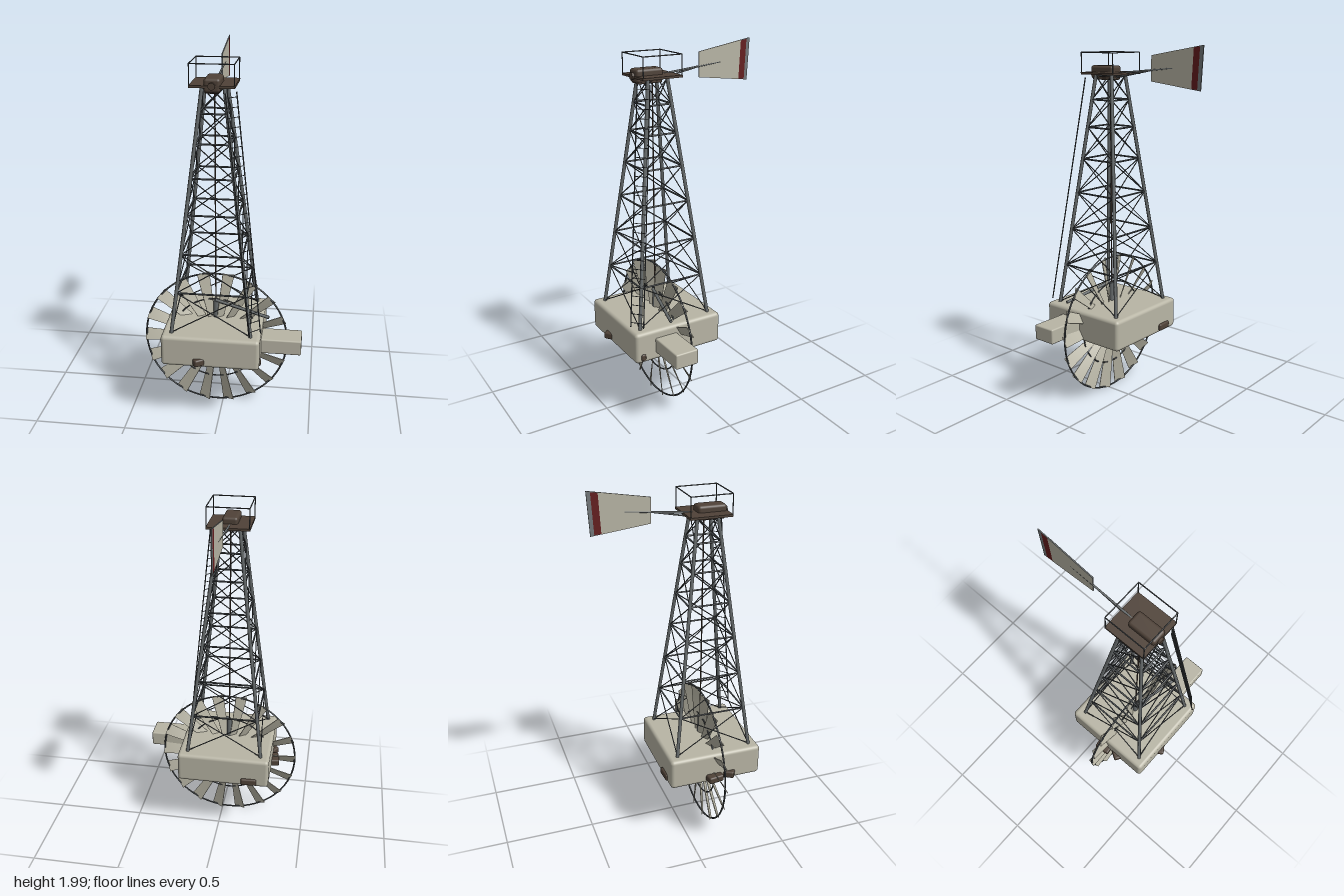
import * as THREE from 'three';
import { RoundedBoxGeometry } from 'three/addons/geometries/RoundedBoxGeometry.js';

const CX = -0.038, CZ = 0.157; // tower axis
const V = (x, y, z) => new THREE.Vector3(x, y, z);
const lerp = THREE.MathUtils.lerp;
const mat = (name, color, side = THREE.FrontSide) => {
  const m = new THREE.MeshStandardMaterial({ color, side });
  m.name = name;
  return m;
};

export function createModel() {
  const paint = mat('weathered paint', 0xb8b5a5, THREE.DoubleSide);
  const steel = mat('leg steel', 0x666b6c);
  const iron = mat('dark iron', 0x484d50);
  const wood = mat('brown wood', 0x4f4238);
  const red = mat('dark red', 0x641c1d, THREE.DoubleSide);
  const sheet = mat('grey sheet metal', 0x73787a);

  const model = new THREE.Group();
  model.name = 'windPump';
  const group = (name, parent = model) => {
    const g = new THREE.Group();
    g.name = name;
    parent.add(g);
    return g;
  };
  const add = (name, geo, material, parent = model) => {
    const m = new THREE.Mesh(geo, material);
    m.name = name;
    parent.add(m);
    return m;
  };
  // Round bar between two points
  const bar = (name, a, b, r, material, parent, sides = 6, rEnd = r) => {
    const m = add(name, new THREE.CylinderGeometry(rEnd, r, a.distanceTo(b), sides), material, parent);
    m.position.copy(a).add(b).multiplyScalar(0.5);
    m.quaternion.setFromUnitVectors(V(0, 1, 0), b.clone().sub(a).normalize());
    return m;
  };
  const block = (name, w, h, d, r, x, y, z, material, ry = 0, parent = model) => {
    const m = add(name, new RoundedBoxGeometry(w, h, d, 3, r), material, parent);
    m.position.set(x, y, z);
    m.rotation.y = ry;
    return m;
  };

  // Base with side trough
  block('base', 0.528, 0.175, 0.528, 0.02, CX, 0.46, CZ, paint);
  block('trough', 0.23, 0.085, 0.133, 0.008, 0.327, 0.458, 0.237, paint);

  // Stones around the base
  const stones = group('stones');
  [
    [-0.097, 0.417, 0.06, 0.04, 0.6], [-0.312, 0.145, 0.06, 0.09, 0.15],
    [-0.295, 0.234, 0.05, 0.07, -0.55], [-0.19, -0.107, 0.09, 0.025, 0.05],
    [0.22, 0.377, 0.025, 0.03, 0.1],
  ].forEach(([x, z, w, d, ry]) => block('stone', w, 0.04, d, 0.01, x, 0.406, z, wood, ry, stones));

  // Four tapering legs
  const Y0 = 0.545, Y1 = 1.845;
  const half = y => lerp(0.212, 0.055, (y - Y0) / (Y1 - Y0));
  const corners = [[1, 1], [-1, 1], [-1, -1], [1, -1]];
  const at = (i, y) => {
    const [sx, sz] = corners[i % 4];
    return V(CX + sx * half(y), y, CZ + sz * half(y));
  };
  const tower = group('tower');
  for (let i = 0; i < 4; i++) bar('leg', at(i, Y0), at(i, Y1), 0.01, steel, tower, 8);

  // Horizontal girts and crossed braces on each face
  const levels = [0.55, 0.77, 0.98, 1.19, 1.38, 1.555, 1.705, 1.835];
  for (let k = 0; k < levels.length - 1; k++) {
    const lo = levels[k], hi = levels[k + 1];
    for (let i = 0; i < 4; i++) {
      bar('girt', at(i, hi), at(i + 1, hi), 0.005, iron, tower);
      bar('brace', at(i, lo), at(i + 1, hi), 0.003, iron, tower);
      bar('brace', at(i + 1, lo), at(i, hi), 0.003, iron, tower);
    }
  }

  // Platform with guard rail
  const platform = add('platform', new THREE.BoxGeometry(0.228, 0.012, 0.228), wood);
  platform.position.set(CX, 1.846, CZ);
  const railing = group('railing');
  const railAt = (i, y) => V(CX + corners[i % 4][0] * 0.111, y, CZ + corners[i % 4][1] * 0.111);
  for (let i = 0; i < 4; i++) {
    bar('railPost', railAt(i, 1.85), railAt(i, 1.956), 0.003, iron, railing);
    bar('topRail', railAt(i, 1.956), railAt(i + 1, 1.956), 0.003, iron, railing);
  }

  // Gearbox with lower housing and shaft stub
  block('gearbox', 0.083, 0.07, 0.155, 0.015, CX, 1.851, 0.19, wood);
  block('lowerHousing', 0.076, 0.05, 0.14, 0.008, CX, 1.835, 0.187, wood);
  bar('shaft', V(CX, 1.85, 0.25), V(CX, 1.85, 0.28), 0.018, wood, model, 16);

  // Ladder along the front left leg
  const ladder = group('ladder');
  const railA = [V(0.228, 0.58, 0.376), V(0.08, 1.82, 0.235)];
  const railB = [V(0.175, 0.58, 0.424), V(0.03, 1.82, 0.28)];
  for (const [a, b] of [railA, railB]) bar('ladderRail', a, b, 0.0035, iron, ladder);
  for (let i = 0; i < 26; i++) {
    const t = (i + 0.5) / 26;
    bar('rung', railA[0].clone().lerp(railA[1], t), railB[0].clone().lerp(railB[1], t), 0.002, iron, ladder);
  }

  // Pump rod, pump and handle
  bar('pumpRod', V(CX, 0.6, CZ), V(CX, 1.83, CZ), 0.004, wood, model);
  bar('pump', V(CX, 0.54, CZ), V(CX, 0.655, CZ), 0.015, steel, model, 12);
  bar('pumpHandle', V(CX, 0.655, 0.17), V(0.262, 0.597, 0.23), 0.009, steel, model, 8);

  // Wheel of twisted blades held by two rings
  const wheel = group('wheel');
  wheel.position.set(CX, 0.41, CZ);
  add('outerRing', new THREE.TorusGeometry(0.398, 0.005, 6, 72), iron, wheel);
  add('innerRing', new THREE.TorusGeometry(0.245, 0.004, 6, 60), iron, wheel);
  const bladeGeo = new THREE.BoxGeometry(1, 0.327, 0.004, 1, 6, 1).translate(0, 0.2385, 0);
  const p = bladeGeo.attributes.position;
  for (let i = 0; i < p.count; i++) {
    const t = (p.getY(i) - 0.075) / 0.327;
    const v = V(p.getX(i) * lerp(0.034, 0.07, t), p.getY(i), p.getZ(i));
    v.applyAxisAngle(V(0, 1, 0), lerp(0.7, 0.45, t)); // pitch eases toward the rim
    p.setXYZ(i, v.x, v.y, v.z);
  }
  bladeGeo.computeVertexNormals();
  for (let i = 0; i < 18; i++) {
    add('blade', bladeGeo, paint, wheel).rotation.z = (i + 0.5) * Math.PI / 9;
  }

  // Tail boom and struts
  const tail = group('tail');
  bar('boom', V(CX, 1.845, 0.12), V(CX, 1.883, -0.26), 0.006, steel, tail, 8, 0.0045);
  bar('boomStrut', V(CX, 1.823, 0.115), V(CX, 1.872, -0.14), 0.004, steel, tail);

  // Tail vane: metal sheet with a painted panel and red stripe on both faces
  const vanePoint = (s, t) => { // s along the vane, t from bottom to top
    const far = lerp(0.434, 0.447, t);
    return new THREE.Vector2(lerp(0.124, far, s), lerp(lerp(1.812, 1.775, s), lerp(1.945, 2, s), t));
  };
  const panel = (s0, s1, m = 0) =>
    new THREE.Shape([vanePoint(s0, m), vanePoint(s1, m), vanePoint(s1, 1 - m), vanePoint(s0, 1 - m)]);
  const sheetGeo = new THREE.ExtrudeGeometry(panel(0, 1), { depth: 0.005, bevelEnabled: false });
  sheetGeo.translate(0, 0, -0.0025).rotateY(Math.PI / 2);
  add('vane', sheetGeo, sheet, tail).position.x = CX;
  for (const side of [-1, 1]) {
    const paintGeo = new THREE.ShapeGeometry(panel(0, 0.82)).rotateY(Math.PI / 2);
    const redGeo = new THREE.ShapeGeometry(panel(0.82, 0.935, 0.015)).rotateY(Math.PI / 2);
    // Each face is turned outward on its own side
    if (side < 0) for (const g of [paintGeo, redGeo]) {
      g.index.array.reverse();
      g.attributes.normal.array.forEach((n, i, a) => { a[i] = -n; });
    }
    for (const [name, geo, m] of [['vanePaint', paintGeo, paint], ['vaneStripe', redGeo, red]]) {
      add(name, geo, m, tail).position.x = CX + side * 0.0035;
    }
  }

  return model;
}
